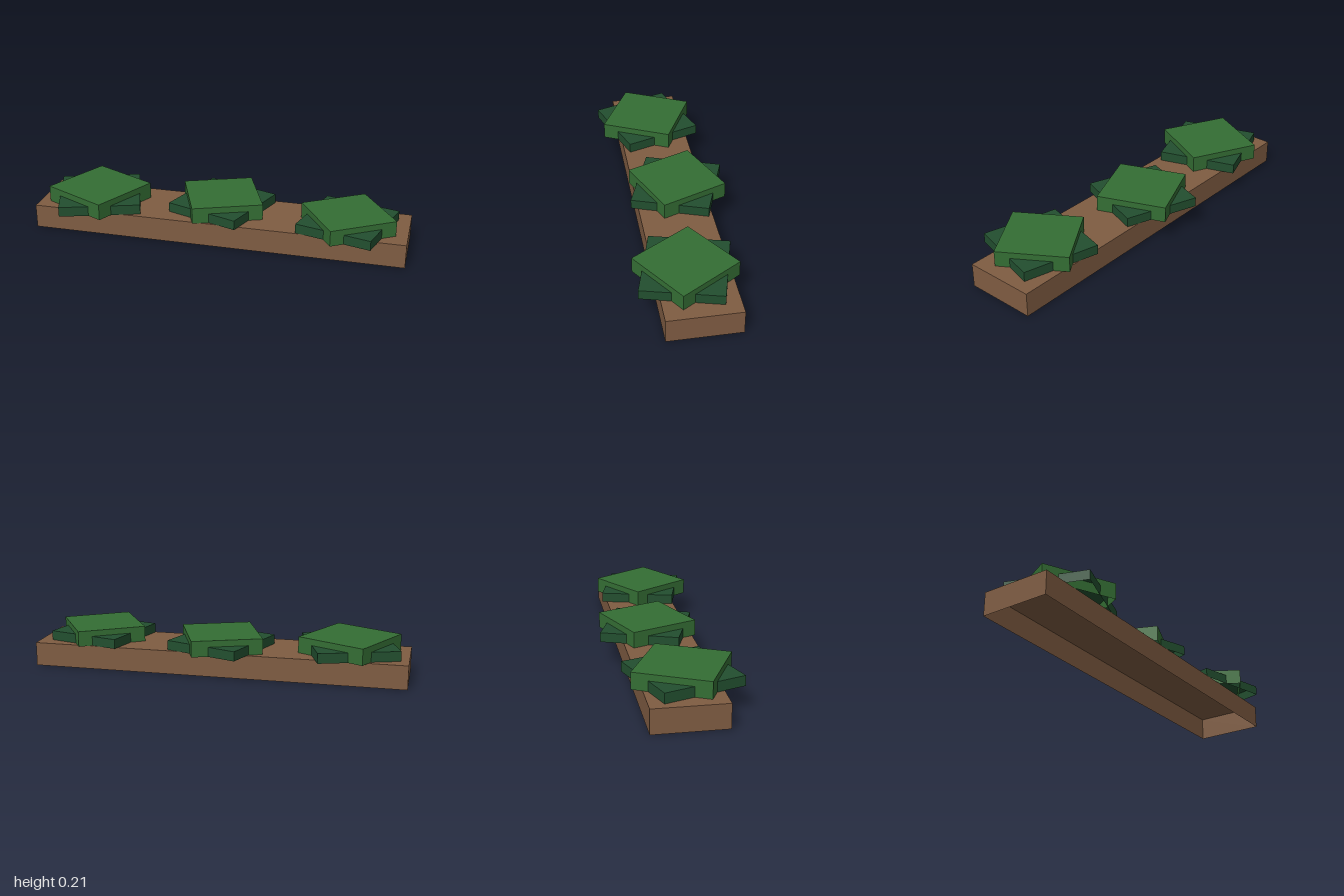
import * as THREE from 'three';

const soil = new THREE.MeshStandardMaterial({ name: 'planterBrown', color: 0x7f5c42, side: THREE.DoubleSide });
const dark = new THREE.MeshStandardMaterial({ name: 'darkLeafGreen', color: 0x224f2f, side: THREE.DoubleSide });
const light = new THREE.MeshStandardMaterial({ name: 'lightLeafGreen', color: 0x346e34, side: THREE.DoubleSide });

// Thin-walled box without a bottom, standing on y = 0
function openBox(name, w, h, d, material) {
  const geometry = new THREE.BoxGeometry(w, h, d);
  const index = Array.from(geometry.index.array);
  index.splice(18, 6); // drop the bottom face
  geometry.setIndex(index);
  geometry.clearGroups();
  geometry.translate(0, h / 2, 0);
  const mesh = new THREE.Mesh(geometry, material);
  mesh.name = name;
  return mesh;
}

export function createModel() {
  const model = new THREE.Group();
  model.name = 'planterBox';

  // Long planter, open underneath
  const planter = openBox('planter', 2, 0.127, 0.375, soil);
  planter.position.z = 0.002;
  model.add(planter);

  // Each shrub: a wide low dark block crossed by a taller light block
  const shrubs = [
    { x: -0.684, z: 0.024, low: [0.432, 0.053, 18.8], high: [0.39, 0.087, -26.2] },
    { x: -0.005, z: -0.038, low: [0.415, 0.051, -19.7], high: [0.375, 0.085, 21.8] },
    { x: 0.684, z: 0.038, low: [0.41, 0.051, -15.1], high: [0.368, 0.083, 32.5] },
  ];
  for (const { x, z, low, high } of shrubs) {
    const shrub = new THREE.Group();
    shrub.name = 'shrub';
    shrub.position.set(x, 0.127, z);
    for (const [name, [size, height, angle], material] of [['lowerLeaves', low, dark], ['upperLeaves', high, light]]) {
      const leaves = openBox(name, size, height, size, material);
      leaves.rotation.y = THREE.MathUtils.degToRad(angle);
      shrub.add(leaves);
    }
    model.add(shrub);
  }
  return model;
}
